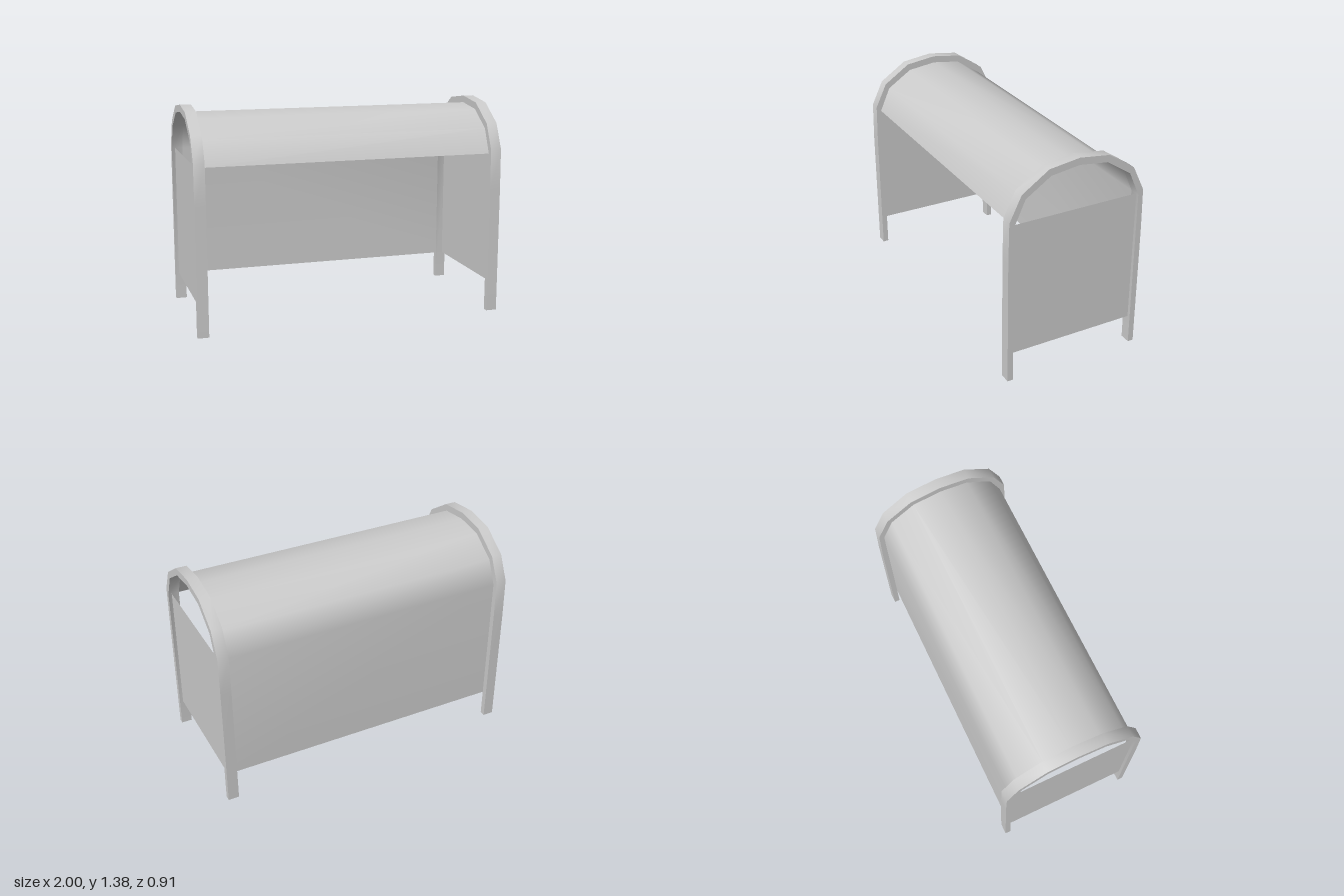
import * as THREE from 'three';
import { toCreasedNormals } from 'three/addons/utils/BufferGeometryUtils.js';

// Half profiles as [z, y], from the foot up to the crown
const OUTER = [[0.457, 0], [0.457, 0.82], [0.452, 1.08], [0.375, 1.24], [0.2, 1.358], [0, 1.385]];
const INNER = [[0.42, 0], [0.42, 1.05], [0.35, 1.207], [0.187, 1.315], [0, 1.34]];

// Full arch from the -z foot, over the crown, to the +z foot
const mirrorProfile = (half) => [
  ...half.map(([z, y]) => [-z, y]),
  ...half.slice(0, -1).reverse(),
];

const FRAME_WIDTH = 0.07;
const PANEL_BOTTOM = 0.18;
const PANEL_TOP = 1.05;

export function createModel() {
  const group = new THREE.Group();
  const solid = new THREE.MeshStandardMaterial({ color: 0xcccccc });
  const sheet = new THREE.MeshStandardMaterial({ color: 0xcccccc, side: THREE.DoubleSide });

  const add = (name, geometry, material) => {
    const mesh = new THREE.Mesh(geometry, material);
    mesh.name = name;
    group.add(mesh);
    return mesh;
  };

  // Arched end frame: outer outline, then back along the inner one
  const outline = [...mirrorProfile(OUTER), ...mirrorProfile(INNER).reverse()];
  const shape = new THREE.Shape(outline.map(([z, y]) => new THREE.Vector2(z, y)));
  const extruded = new THREE.ExtrudeGeometry(shape, { depth: FRAME_WIDTH, bevelEnabled: false });
  extruded.translate(0, 0, -FRAME_WIDTH / 2).rotateY(Math.PI / 2);
  const frameGeometry = toCreasedNormals(extruded, 0.7);

  // Flat end panel held between the legs
  const panelGeometry = new THREE.PlaneGeometry(0.84, PANEL_TOP - PANEL_BOTTOM);

  for (const [side, label] of [[1, 'left'], [-1, 'right']]) {
    add(label + 'Frame', frameGeometry, solid).position.x = side * (1 - FRAME_WIDTH / 2);
    const panel = add(label + 'EndPanel', panelGeometry, sheet);
    panel.position.set(side * 0.978, (PANEL_TOP + PANEL_BOTTOM) / 2, 0);
    panel.rotation.y = side * Math.PI / 2;
  }

  // One curved sheet: back wall running up into the roof, ending at the open front
  const path = mirrorProfile(INNER).slice(0, -1);
  path[0] = [-0.42, PANEL_BOTTOM];
  const roof = new THREE.PlaneGeometry(2 - 2 * FRAME_WIDTH, 1, 1, path.length - 1);
  const position = roof.attributes.position;
  for (let i = 0; i < position.count; i++) {
    const [z, y] = path[Math.floor(i / 2)];
    position.setXYZ(i, position.getX(i), y, z);
  }
  roof.computeVertexNormals();
  add('roofAndBackWall', roof, sheet);

  return group;
}
